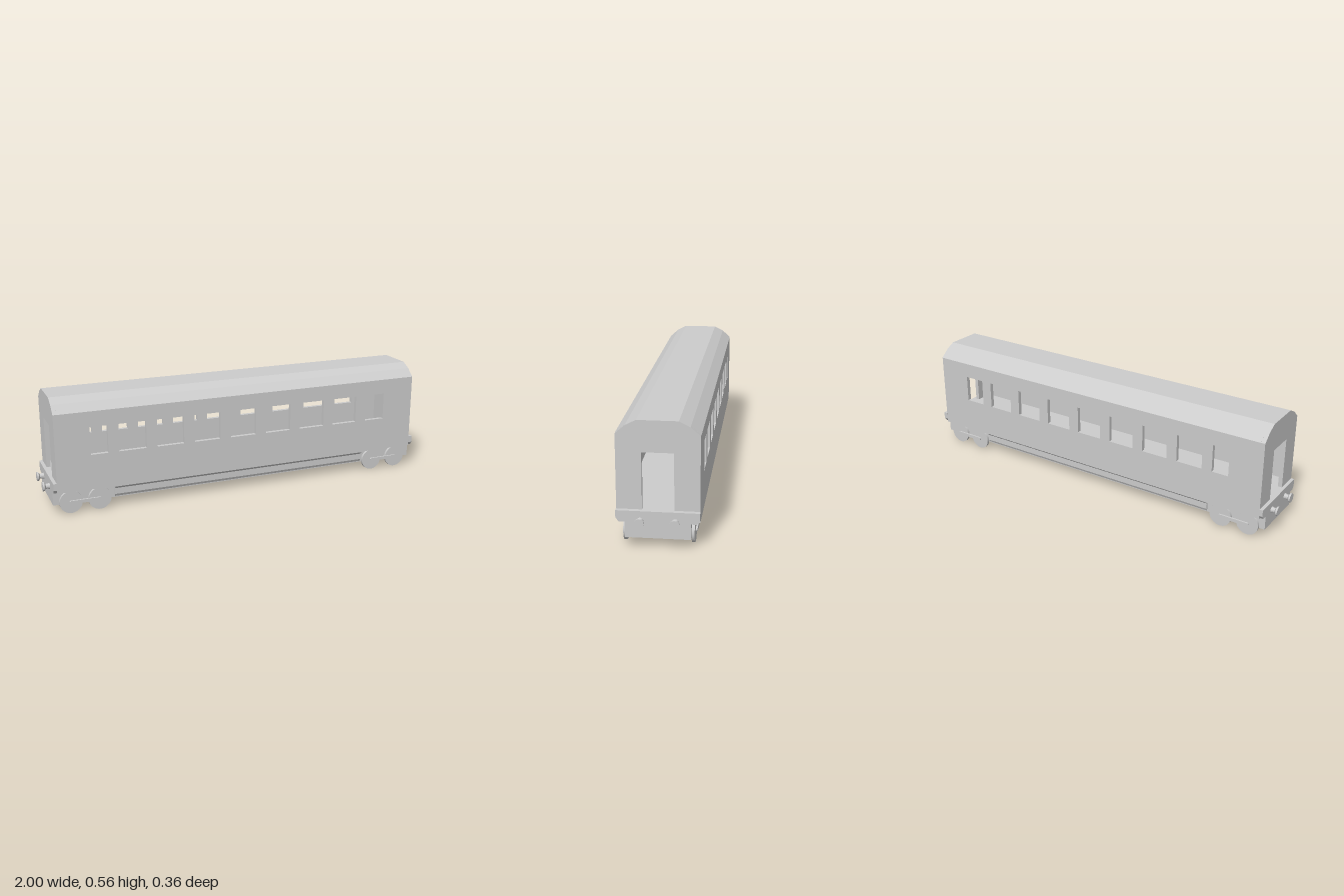
import * as THREE from 'three';
import { toCreasedNormals } from 'three/addons/utils/BufferGeometryUtils.js';

const mat = new THREE.MeshStandardMaterial({ color: 0xcccccc });

function add(parent, name, geo, x = 0, y = 0, z = 0) {
  const mesh = new THREE.Mesh(geo, mat);
  mesh.name = name;
  mesh.position.set(x, y, z);
  parent.add(mesh);
  return mesh;
}

// Box given by its limits
function addBox(parent, name, x0, x1, y0, y1, z0, z1) {
  return add(parent, name, new THREE.BoxGeometry(x1 - x0, y1 - y0, z1 - z0),
    (x0 + x1) / 2, (y0 + y1) / 2, (z0 + z1) / 2);
}

function rectPath(x0, x1, y0, y1) {
  return new THREE.Path([[x0, y0], [x1, y0], [x1, y1], [x0, y1]].map(p => new THREE.Vector2(...p)));
}

// Half outline (z, y) from bottom to top, mirrored into a closed shape
function mirroredShape(half) {
  const left = half.map(([z, y]) => [-z, y]).reverse();
  return new THREE.Shape([...half, ...left].map(p => new THREE.Vector2(...p)));
}

// Extrude a (z, y) shape along x
function alongX(shape, x0, x1) {
  const geo = new THREE.ExtrudeGeometry(shape, { depth: x1 - x0, bevelEnabled: false });
  return geo.rotateY(Math.PI / 2).translate(x0, 0, 0);
}

export function createModel() {
  const car = new THREE.Group();
  car.name = 'passengerCarriage';
  const X0 = -0.95, X1 = 0.945, T = 0.02, W = 0.177;

  // Side walls with a row of windows
  const windows = [[-0.784, -0.70]];
  for (let i = 0; i < 7; i++) windows.push([-0.648 + i * 0.188, -0.514 + i * 0.188]);
  windows.push([0.67, 0.777]);
  const side = new THREE.Shape(rectPath(X0 + T, X1 - T, 0.115, 0.495).getPoints());
  for (const [a, b] of windows) side.holes.push(rectPath(a, b, 0.285, 0.42));
  const sideGeo = new THREE.ExtrudeGeometry(side, { depth: T, bevelEnabled: false });
  add(car, 'leftWall', sideGeo, 0, 0, W - T);
  add(car, 'rightWall', sideGeo, 0, 0, -W);

  // End walls with gangway doorways
  const gable = mirroredShape([[W, 0.115], [W, 0.495], [0.135, 0.532], [0.088, 0.556]]);
  gable.holes.push(rectPath(-0.068, 0.068, 0.165, 0.418));
  add(car, 'endWall', alongX(gable, X0, X0 + T));
  add(car, 'endWall', alongX(gable, X1 - T, X1));

  // Faceted roof with a flat ceiling
  const roof = mirroredShape([[W - T, 0.48], [W - T, 0.495], [0.178, 0.495], [0.135, 0.532], [0.088, 0.556]]);
  add(car, 'roof', alongX(roof, X0 + T, X1 - T));

  // Floor and underframe
  addBox(car, 'floor', X0 + T, X1 - T, 0.116, 0.165, -W + T, W - T);
  addBox(car, 'underframe', -0.95, 0.95, 0.045, 0.116, -0.139, 0.139);

  // Side skirts between the bogies, with a ledge on top
  const skirt = mirroredShape([[0.141, 0.05], [0.147, 0.062], [0.147, 0.092], [0.161, 0.105], [0.161, 0.115]]);
  add(car, 'skirt', alongX(skirt, -0.67, 0.67));

  // Buffer beams and buffers at both ends
  const beam = mirroredShape([[0.139, 0.045], [0.139, 0.115], [0.165, 0.115], [0.178, 0.132], [0.178, 0.165]]);
  const bufferProfile = [[0, 0], [0.015, 0], [0.012, 0.012], [0.012, 0.02], [0.022, 0.027], [0.022, 0.035], [0, 0.035]];
  const bufferGeo = toCreasedNormals(
    new THREE.LatheGeometry(bufferProfile.map(p => new THREE.Vector2(...p)), 24), 0.5);
  for (const s of [-1, 1]) {
    add(car, 'bufferBeam', s < 0 ? alongX(beam, -0.966, X0) : alongX(beam, X1, 0.965));
    for (const z of [-0.074, 0.074]) {
      add(car, 'buffer', bufferGeo, s * 0.965, 0.121, z).rotation.z = -s * Math.PI / 2;
    }
  }

  // Bogies: wheels, hubs and the bar joining each pair
  const wheelGeo = new THREE.CylinderGeometry(0.055, 0.055, 0.013, 40).rotateX(Math.PI / 2);
  const axleGeo = new THREE.CylinderGeometry(0.01, 0.01, 0.3, 16).rotateX(Math.PI / 2);
  for (const [a, b] of [[-0.883, -0.744], [0.735, 0.877]]) {
    const bogie = new THREE.Group();
    bogie.name = 'bogie';
    car.add(bogie);
    for (const x of [a, b]) {
      add(bogie, 'axle', axleGeo, x, 0.055, 0);
      for (const z of [-0.1455, 0.1455]) add(bogie, 'wheel', wheelGeo, x, 0.055, z);
    }
    // Round-ended bar outside the wheels
    const bar = new THREE.Shape();
    bar.absarc(b, 0.055, 0.008, -Math.PI / 2, Math.PI / 2, false);
    bar.absarc(a, 0.055, 0.008, Math.PI / 2, Math.PI * 1.5, false);
    const barGeo = new THREE.ExtrudeGeometry(bar, { depth: 0.009, bevelEnabled: false });
    add(bogie, 'couplingBar', barGeo, 0, 0, 0.151);
    add(bogie, 'couplingBar', barGeo, 0, 0, -0.16);
  }
  return car;
}
